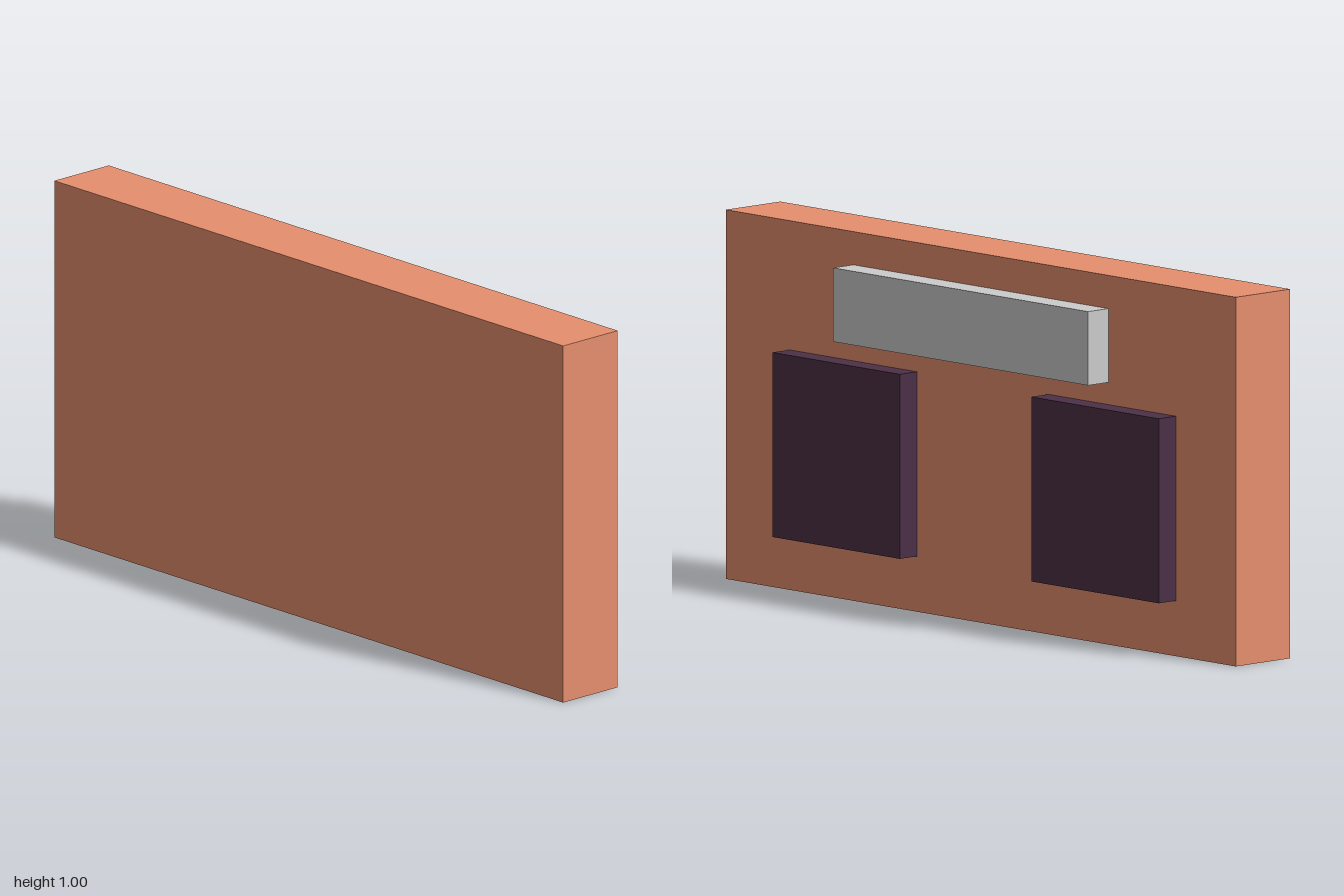
import * as THREE from 'three';

export function createModel() {
  const group = new THREE.Group();
  const clay = new THREE.MeshStandardMaterial({ color: 0xe68e6d });
  const plum = new THREE.MeshStandardMaterial({ color: 0x4b3046 });
  const grey = new THREE.MeshStandardMaterial({ color: 0xcccccc });

  // Box given by its lower and upper corners
  function block(name, material, [x0, y0, z0], [x1, y1, z1]) {
    const mesh = new THREE.Mesh(new THREE.BoxGeometry(x1 - x0, y1 - y0, z1 - z0), material);
    mesh.position.set((x0 + x1) / 2, (y0 + y1) / 2, (z0 + z1) / 2);
    mesh.name = name;
    group.add(mesh);
  }

  const face = 0.0625; // the board's face that carries the raised parts

  // Upright board
  block('board', clay, [-0.1365, 0, -1], [face, 1, 1]);

  // Two square panels, slightly off the middle
  block('frontPanel', plum, [face, 0.15, 0.25], [0.125, 0.65, 0.75]);
  block('backPanel', plum, [face, 0.15, -0.765], [0.125, 0.65, -0.265]);

  // Long bar above the panels
  block('topBar', grey, [face, 0.71, -0.5], [0.1365, 0.91, 0.5]);

  return group;
}
